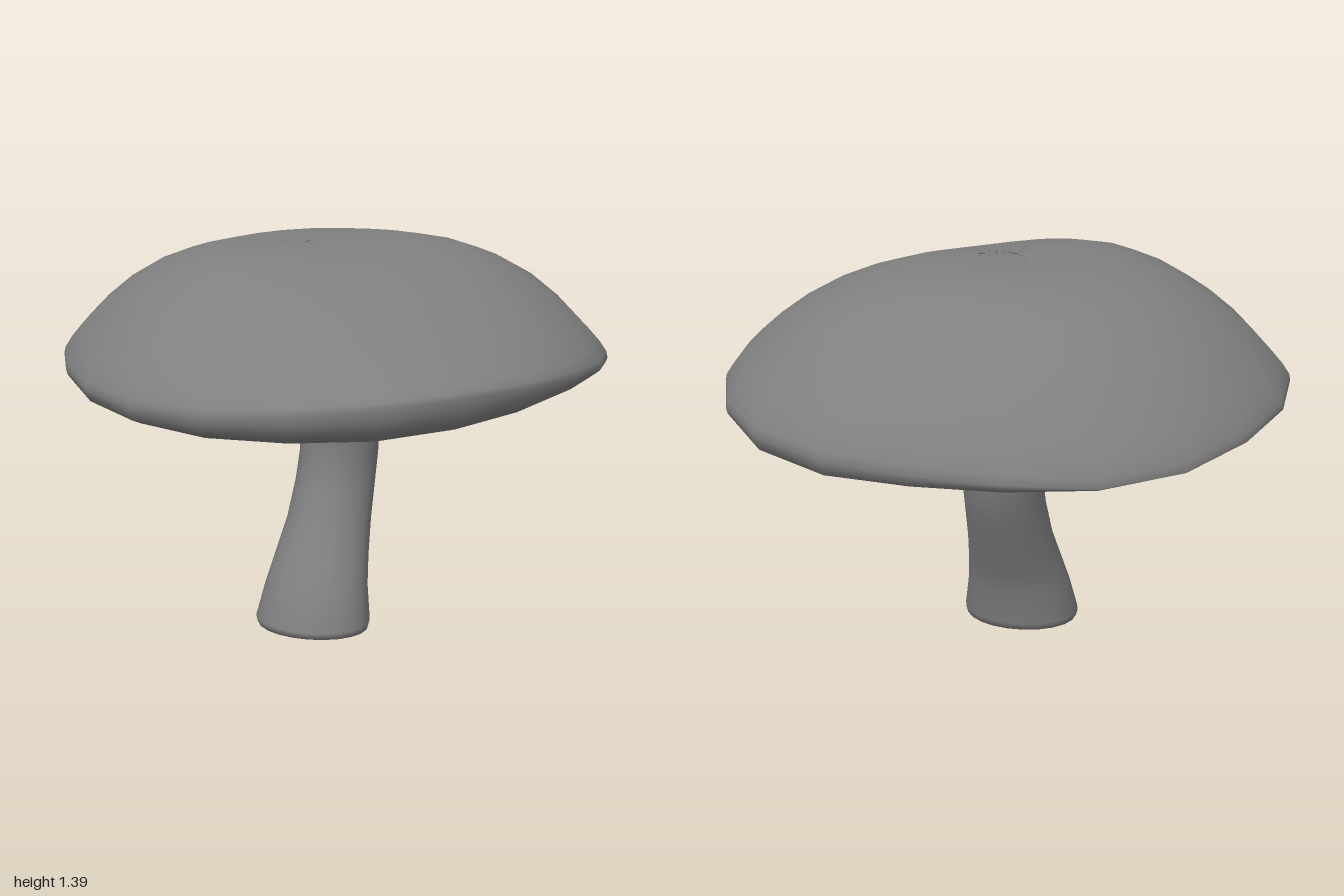
import * as THREE from 'three';
import { mergeVertices } from 'three/addons/utils/BufferGeometryUtils.js';

// Rim seen from above, [x, z], starting at the back and running via +x
const RIM = [
  [0.03, -1], [0.32, -0.995], [0.6, -0.875], [0.79, -0.68], [0.91, -0.44], [0.965, -0.19],
  [0.965, 0.08], [0.91, 0.36], [0.79, 0.62], [0.6, 0.835], [0.35, 0.955], [0.07, 1],
  [-0.21, 0.94], [-0.46, 0.8], [-0.67, 0.595], [-0.82, 0.38], [-0.94, 0.13], [-0.965, -0.15],
  [-0.9, -0.43], [-0.765, -0.69], [-0.54, -0.88], [-0.26, -0.965],
];
const SIDES = RIM.length;

// Skin a stack of closed rings, ordered from the underside to the top
function loft(rings) {
  const index = [];
  for (let i = 0; i < rings.length - 1; i++) {
    for (let k = 0; k < SIDES; k++) {
      const n = (k + 1) % SIDES;
      const a = i * SIDES + k, b = i * SIDES + n;
      const c = a + SIDES, d = b + SIDES;
      index.push(a, c, b, b, c, d);
    }
  }
  let geometry = new THREE.BufferGeometry();
  geometry.setAttribute('position', new THREE.Float32BufferAttribute(rings.flat(2), 3));
  geometry.setIndex(index);
  geometry = mergeVertices(geometry, 1e-5);
  geometry.computeVertexNormals();
  return geometry;
}

// Elliptical ring of the stem: height, centre z, x radius, z radius
const stemRing = ([y, cz, rx, rz]) => Array.from({ length: SIDES }, (_, k) => {
  const a = (k / SIDES) * Math.PI * 2;
  return [0.008 + rx * Math.sin(a), y, cz - rz * Math.cos(a)];
});

// Heights of the rim, the saddle-shaped underside and the lopsided crown
const rimY = (x, z) =>
  0.985 + 0.015 * x + 0.03 * z - 0.045 * z * z + 0.04 * x * z * (x + z);
const underY = (x, z) => 0.972 - 0.01 * x + 0.045 * (z + 0.2) - 0.115 * Math.hypot(z + 0.2, 0.1);
const crownY = (x) => 1.392 - 0.06 * (x - 0.12) ** 2;
// The cap is flatter towards its front left
const slump = (x, z, s) => 0.3 * Math.max(0, x + z) ** 2 * (1 - s);

// Where the stem runs over into the collar of the cap
const JOINT = [0.88, -0.128, 0.167, 0.172];

function capGeometry() {
  // Collar flaring out of the stem
  const collar = [
    JOINT, [0.925, -0.124, 0.184, 0.178], [0.96, -0.124, 0.212, 0.194], [0.98, -0.124, 0.26, 0.24],
  ];
  // Underside: [scale, hollow, blend towards the rim]
  const under = [
    [0.45, 0.04, 0], [0.6, 0.028, 0], [0.75, 0.01, 0], [0.87, 0, 0],
    [0.94, 0, 0.08], [0.98, 0, 0.35], [0.995, 0, 0.7],
  ];
  // Upper side: [scale, fraction of the rise from rim to crown]
  const upper = [
    [1, 0], [0.995, 0.06], [0.97, 0.16], [0.93, 0.28], [0.85, 0.48], [0.75, 0.67],
    [0.62, 0.835], [0.5, 0.925], [0.36, 0.98], [0.2, 0.99], [0, 0.975],
  ];
  return loft([
    ...collar.map(stemRing),
    ...under.map(([s, hollow, t]) => RIM.map(([x, z]) =>
      [x * s, THREE.MathUtils.lerp(underY(x * s, z * s) + hollow, rimY(x, z), t), z * s])),
    ...upper.map(([s, f]) => RIM.map(([x, z]) => [
      x * s,
      THREE.MathUtils.lerp(rimY(x, z), crownY(x * s), f) - slump(x * s, z * s, s),
      z * s,
    ])),
  ]);
}

function stemGeometry() {
  const sections = [
    [0, 0.08, 0, 0], [0, 0.08, 0.18, 0.145], [0.006, 0.08, 0.205, 0.167],
    [0.03, 0.08, 0.212, 0.174], [0.15, 0.05, 0.189, 0.163], [0.25, 0.005, 0.171, 0.157],
    [0.37, -0.055, 0.152, 0.153], [0.5, -0.108, 0.142, 0.157], [0.6, -0.138, 0.139, 0.16],
    [0.71, -0.145, 0.141, 0.165], [0.8, -0.138, 0.15, 0.168], JOINT,
  ];
  return loft(sections.map(stemRing));
}

export function createModel() {
  const group = new THREE.Group();
  group.name = 'mushroom';
  const material = new THREE.MeshStandardMaterial({ color: 0x808080 });
  const parts = { cap: capGeometry(), stem: stemGeometry() };
  for (const [name, geometry] of Object.entries(parts)) {
    const mesh = new THREE.Mesh(geometry, material);
    mesh.name = name;
    group.add(mesh);
  }
  return group;
}
